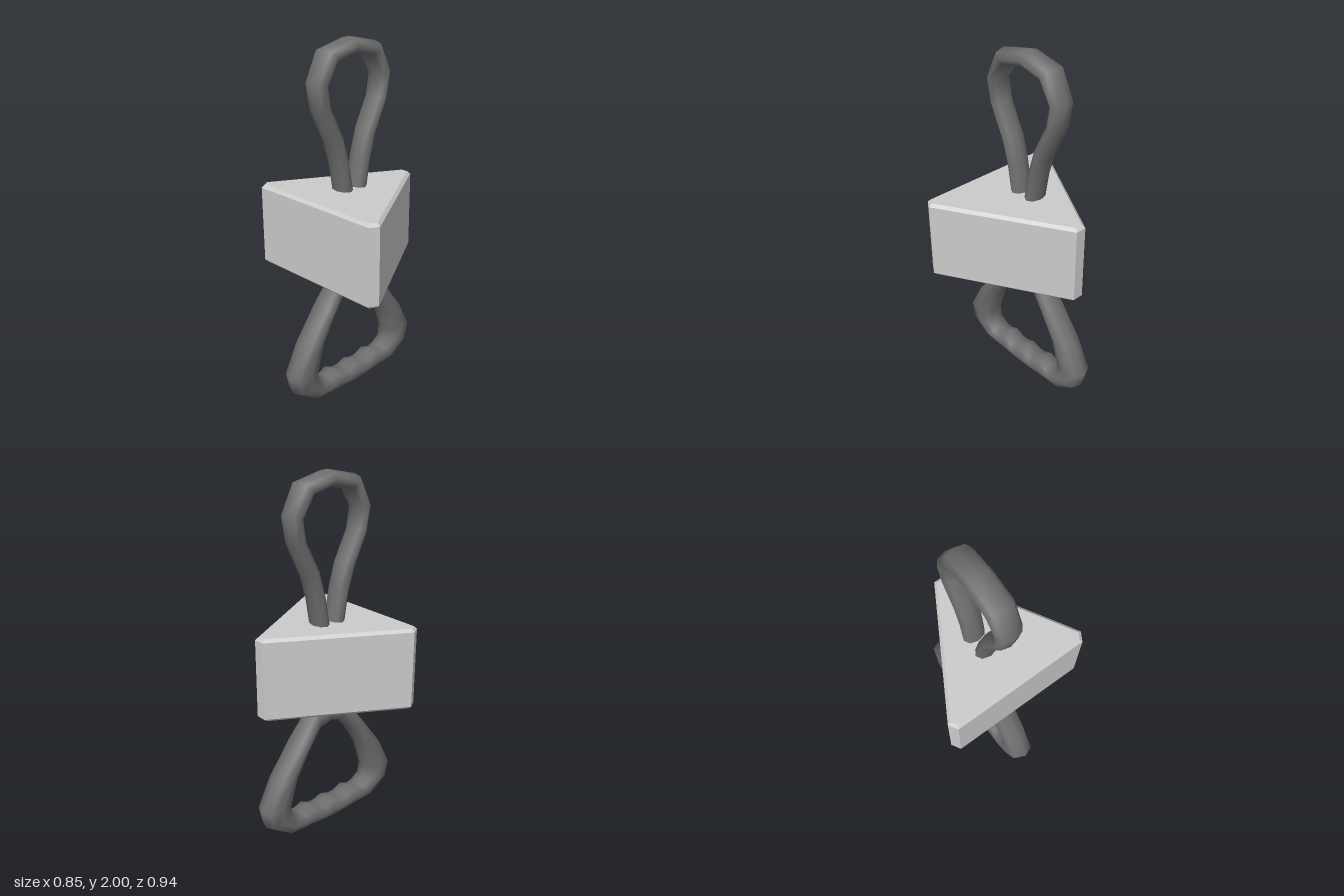
import * as THREE from 'three';

const SIDES = 8;
const CORD_X = -0.036;

// Sweeps an oval section along sections of [outerZ, outerY, innerZ, innerY, halfWidth].
function cordGeometry(sections, closed, squareness) {
  const positions = [];
  const index = [];
  const round = (v) => Math.sign(v) * Math.abs(v) ** squareness;
  for (const [oz, oy, iz, iy, w] of sections) {
    for (let j = 0; j < SIDES; j++) {
      const a = (j / SIDES) * Math.PI * 2;
      const c = round(Math.cos(a)) / 2;
      positions.push(
        CORD_X + w * round(Math.sin(a)),
        (oy + iy) / 2 + (oy - iy) * c,
        (oz + iz) / 2 + (oz - iz) * c
      );
    }
  }
  const n = sections.length;
  for (let i = 0; i < (closed ? n : n - 1); i++) {
    const next = (i + 1) % n;
    for (let j = 0; j < SIDES; j++) {
      const k = (j + 1) % SIDES;
      const a = i * SIDES + j, b = next * SIDES + j;
      const c = i * SIDES + k, d = next * SIDES + k;
      index.push(a, b, c, b, d, c);
    }
  }
  const geometry = new THREE.BufferGeometry();
  geometry.setAttribute('position', new THREE.Float32BufferAttribute(positions, 3));
  geometry.setIndex(index);
  geometry.computeVertexNormals();
  return geometry;
}

const mirrorZ = ([oz, oy, iz, iy, w]) => [-oz, oy, -iz, iy, w];

export function createModel() {
  const model = new THREE.Group();
  const bodyMaterial = new THREE.MeshStandardMaterial({ color: 0xcccccc, flatShading: true });
  const cordMaterial = new THREE.MeshStandardMaterial({ color: 0x6f6f6f });

  const add = (name, geometry, material) => {
    const mesh = new THREE.Mesh(geometry, material);
    mesh.name = name;
    model.add(mesh);
  };

  // Triangular block with clipped corners and chamfered rims
  const outline = [
    [-0.395, -0.31], [0.395, -0.31], [0.425, -0.26],
    [0.03, 0.423], [-0.03, 0.423], [-0.425, -0.26],
  ].map(([x, y]) => new THREE.Vector2(x, y));
  const bevel = 0.016;
  const block = new THREE.ExtrudeGeometry(new THREE.Shape(outline), {
    depth: 0.46 - 2 * bevel,
    bevelSize: bevel,
    bevelThickness: bevel,
    bevelOffset: -bevel,
    bevelSegments: 1,
  });
  block.rotateX(-Math.PI / 2);
  block.translate(0, 0.745 + bevel, 0);
  add('triangularBlock', block, bodyMaterial);

  // Hanging loop, from its crown down into the block
  const loopHalf = [
    [0, 2.0, 0, 1.915, 0.073],
    [0.185, 1.958, 0.12, 1.89, 0.076],
    [0.265, 1.8, 0.185, 1.783, 0.072],
    [0.243, 1.656, 0.164, 1.672, 0.068],
    [0.16, 1.476, 0.08, 1.513, 0.066],
    [0.12, 1.344, 0.042, 1.386, 0.065],
    [0.093, 1.18, 0.003, 1.18, 0.065],
  ];
  const loop = [...loopHalf.slice(1).reverse().map(mirrorZ), ...loopHalf];
  add('hangingLoop', cordGeometry(loop, false, 1), cordMaterial);

  // Pull handle, from its top to the middle of the finger grip
  const handleHalf = [
    [0, 0.74, 0, 0.62, 0.055],
    [0.105, 0.74, 0.08, 0.595, 0.056],
    [0.23, 0.575, 0.165, 0.5, 0.073],
    [0.38, 0.376, 0.243, 0.365, 0.076],
    [0.47, 0.21, 0.285, 0.21, 0.076],
    [0.445, 0.106, 0.28, 0.145, 0.076],
    [0.317, 0.02, 0.237, 0.117, 0.075],
    [0.205, 0.014, 0.205, 0.11, 0.073],
    [0.153, 0.01, 0.153, 0.133, 0.075],
    [0.095, 0.007, 0.095, 0.106, 0.073],
    [0.053, 0.003, 0.053, 0.106, 0.073],
    [0, 0, 0, 0.127, 0.075],
  ];
  const handle = [...handleHalf, ...handleHalf.slice(1, -1).reverse().map(mirrorZ)];
  add('pullHandle', cordGeometry(handle, true, 0.85), cordMaterial);

  return model;
}
